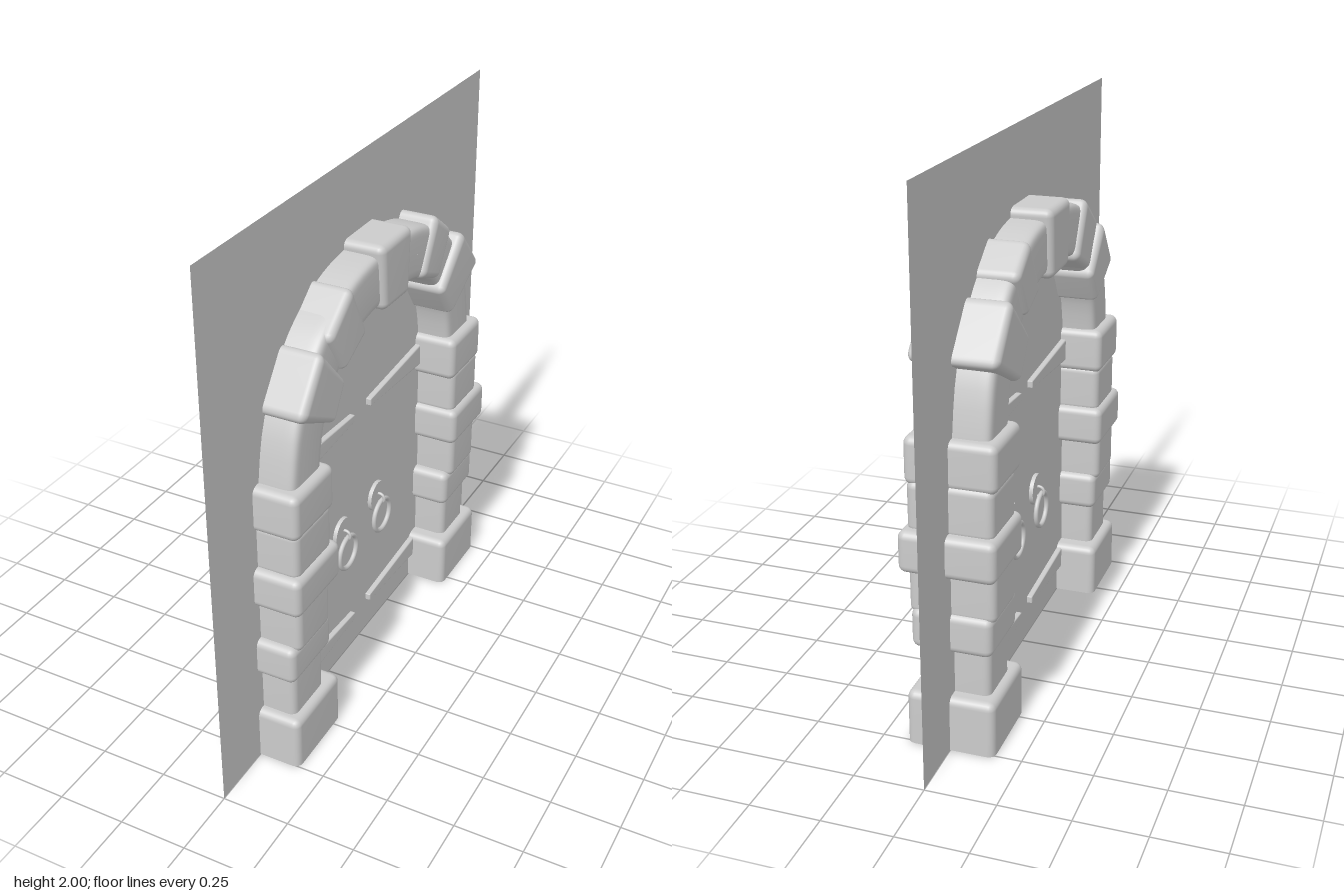
import * as THREE from 'three';
import { RoundedBoxGeometry } from 'three/addons/geometries/RoundedBoxGeometry.js';
import { ParametricGeometry } from 'three/addons/geometries/ParametricGeometry.js';
import { mergeVertices } from 'three/addons/utils/BufferGeometryUtils.js';

const grey = new THREE.MeshStandardMaterial({ color: 0xcccccc });
const greyOpen = new THREE.MeshStandardMaterial({ color: 0xcccccc, side: THREE.DoubleSide });

function add(parent, name, geometry, material = grey) {
  const mesh = new THREE.Mesh(geometry, material);
  mesh.name = name;
  parent.add(mesh);
  return mesh;
}

// Rounded block stretched over a four-cornered outline in (z, y):
// inner -z, inner +z, outer +z, outer -z. Anything under the ground is left open.
function stoneGeometry([a, b, c, d], halfX, radius = 0.028) {
  const w = (Math.hypot(b[0] - a[0], b[1] - a[1]) + Math.hypot(c[0] - d[0], c[1] - d[1])) / 2;
  const h = (Math.hypot(d[0] - a[0], d[1] - a[1]) + Math.hypot(c[0] - b[0], c[1] - b[1])) / 2;
  let geo = new RoundedBoxGeometry(halfX * 2, h, w, 3, radius);
  geo.deleteAttribute('uv');
  geo.deleteAttribute('normal');
  geo.clearGroups();
  geo = mergeVertices(geo, 1e-4);
  const p = geo.attributes.position;
  for (let i = 0; i < p.count; i++) {
    const u = p.getZ(i) / w + 0.5, v = p.getY(i) / h + 0.5;
    const mix = k => (1 - v) * ((1 - u) * a[k] + u * b[k]) + v * ((1 - u) * d[k] + u * c[k]);
    p.setXYZ(i, p.getX(i), Math.max(0, mix(1)), mix(0));
  }
  const index = [];
  const src = geo.index.array;
  for (let i = 0; i < src.length; i += 3) {
    const tri = [src[i], src[i + 1], src[i + 2]];
    if (tri.some(j => p.getY(j) > 1e-5)) index.push(...tri);
  }
  geo.setIndex(index);
  geo.computeVertexNormals();
  return geo;
}

// Plain curved band of the arch, swept between the two columns
function archGeometry() {
  const half = [[0.6, 1.06], [0.595, 1.12], [0.555, 1.29], [0.44, 1.46], [0.33, 1.535], [0.22, 1.578], [0.1, 1.595]];
  const points = [...half, [0, 1.597], ...half.slice().reverse().map(([z, y]) => [-z, y])];
  const curve = new THREE.CatmullRomCurve3(points.map(([z, y]) => new THREE.Vector3(0, y, z)));
  const soft = t => Math.sign(t) * Math.pow(Math.abs(t), 0.25);
  return new ParametricGeometry((u, v, target) => {
    const centre = curve.getPoint(v), t = curve.getTangent(v);
    const angle = u * Math.PI * 2;
    const out = soft(Math.sin(angle)) * 0.098;
    target.set(soft(Math.cos(angle)) * 0.127, centre.y - t.z * out, centre.z + t.y * out);
  }, 48, 48);
}

export function createModel() {
  const model = new THREE.Group();
  model.name = 'archedDoorway';

  // Thin wall panel
  const panel = add(model, 'wallPanel', new THREE.PlaneGeometry(2, 2), greyOpen);
  panel.rotation.y = Math.PI / 2;
  panel.position.y = 1;

  // Columns: bottom, top, +z side inner/outer, -z side inner/outer, half depth
  const courses = [
    [-0.06, 0.2, 0.445, 0.755, 0.45, 0.765, 0.157],
    [0.17, 0.39, 0.51, 0.72, 0.51, 0.71, 0.125],
    [0.36, 0.505, 0.48, 0.75, 0.48, 0.745, 0.143],
    [0.48, 0.67, 0.502, 0.72, 0.515, 0.73, 0.153],
    [0.65, 0.8, 0.455, 0.75, 0.487, 0.78, 0.17],
    [0.78, 0.965, 0.48, 0.72, 0.505, 0.74, 0.15],
    [0.945, 1.115, 0.475, 0.735, 0.475, 0.735, 0.16],
  ];
  for (const [y0, y1, li, lo, ri, ro, hx] of courses) {
    const material = y0 < 0 ? greyOpen : grey;
    const name = y0 < 0 ? 'baseStone' : 'columnStone';
    add(model, name, stoneGeometry([[li, y0], [lo, y0], [lo, y1], [li, y1]], hx), material);
    add(model, name, stoneGeometry([[-ro, y0], [-ri, y0], [-ri, y1], [-ro, y1]], hx), material);
  }

  // Arch band and the raised stones on it
  add(model, 'archBand', archGeometry(), greyOpen);
  add(model, 'keystone', stoneGeometry([[-0.105, 1.48], [0.085, 1.485], [0.108, 1.727], [-0.125, 1.727]], 0.147));
  const archStones = [
    [[[0.37, 1.37], [0.443, 1.243], [0.668, 1.355], [0.525, 1.545]], 0.152],
    [[[0.2, 1.47], [0.365, 1.392], [0.47, 1.555], [0.31, 1.68]], 0.145],
    [[[-0.365, 1.422], [-0.218, 1.48], [-0.33, 1.685], [-0.465, 1.585]], 0.143],
    [[[-0.46, 1.236], [-0.367, 1.37], [-0.545, 1.545], [-0.705, 1.362]], 0.155],
  ];
  for (const [outline, hx] of archStones) add(model, 'archStone', stoneGeometry(outline, hx));

  // Tapered hinge straps
  for (const y of [0.145, 1.03]) {
    for (const s of [1, -1]) {
      const outline = s > 0
        ? [[0.063, y - 0.014], [0.52, y - 0.046], [0.52, y + 0.046], [0.063, y + 0.014]]
        : [[-0.52, y - 0.046], [-0.06, y - 0.014], [-0.06, y + 0.014], [-0.52, y + 0.046]];
      add(model, 'hingeStrap', stoneGeometry(outline, 0.02, 0.006));
    }
  }

  // Ring handles on both faces
  for (const z of [0.142, -0.136]) {
    const plate = add(model, 'handlePlate', new THREE.CylinderGeometry(0.06, 0.06, 0.03, 32));
    plate.rotation.z = Math.PI / 2;
    plate.position.set(0, 0.58, z);
    for (const s of [1, -1]) {
      const ring = add(model, 'handleRing', new THREE.TorusGeometry(0.065, 0.009, 10, 40));
      ring.rotation.y = Math.PI / 2;
      ring.position.set(s * 0.03, 0.5, z);
      const staple = add(model, 'handleStaple', new THREE.TorusGeometry(0.02, 0.006, 8, 20));
      staple.position.set(s * 0.02, 0.572, z);
    }
  }
  return model;
}
